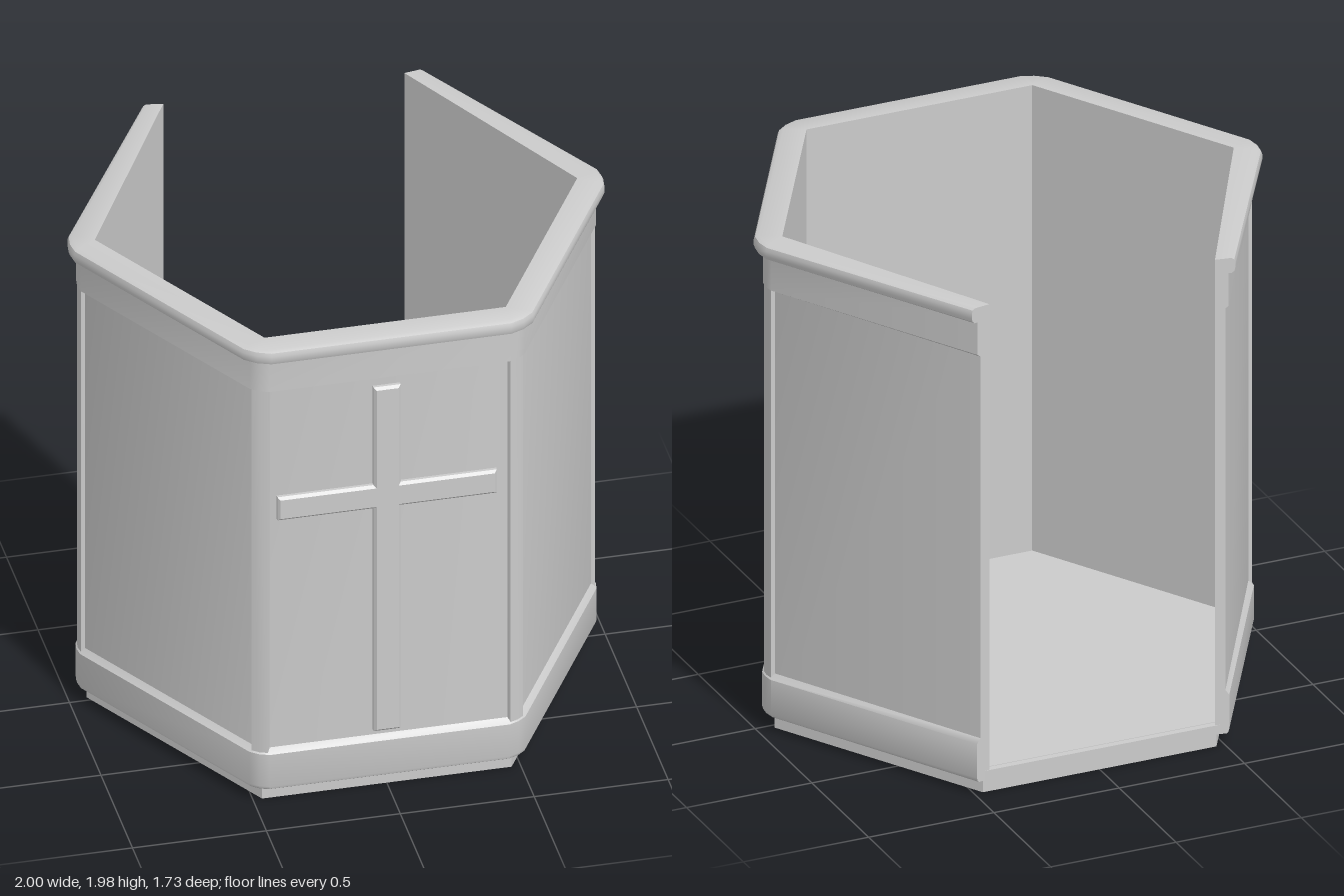
import * as THREE from 'three';
import { toCreasedNormals } from 'three/addons/utils/BufferGeometryUtils.js';

const ZC = -0.021;     // hexagon centre
const BACK = -0.85;    // open rear edge
const INNER = 0.78;    // inner wall distance from the centre
const mat = new THREE.MeshStandardMaterial({ color: 0xcccccc });
const sheetMat = new THREE.MeshStandardMaterial({ color: 0xcccccc, side: THREE.DoubleSide });

function mesh(name, geometry, material = mat) {
  const m = new THREE.Mesh(geometry, material);
  m.name = name;
  return m;
}

const hexPoint = (a, deg) => {
  const t = THREE.MathUtils.degToRad(deg), r = a / Math.cos(Math.PI / 6);
  return new THREE.Vector2(r * Math.cos(t), r * Math.sin(t) + ZC);
};

// Points (x, z) that soften one hexagon corner, reaching c along each side
function softCorner(a, deg, c) {
  const p = hexPoint(a, deg);
  const along = d => p.clone().add(hexPoint(a, d).sub(p).setLength(c));
  const before = along(deg - 60), after = along(deg + 60);
  const mid = before.clone().add(after).multiplyScalar(0.375).addScaledVector(p, 0.25);
  return [before, mid, after];
}

// Plan of the five-sided wall at distance a, from the right rear end to the left
function plan(a) {
  const d = a - INNER, endX = 0.45 + d * 0.72, endZ = BACK - d * 0.12;
  const pts = [new THREE.Vector2(endX, endZ)];
  for (const deg of [0, 60, 120, 180]) pts.push(...softCorner(a, deg, d * 0.6));
  pts.push(new THREE.Vector2(-endX, endZ));
  return pts;
}

// Sweep a convex closed profile of [distance, y] around the five walls
function sweep(profile) {
  const n = profile.length, pos = [], idx = [];
  const rows = profile.map(([a]) => plan(a)), count = rows[0].length;
  for (let s = 0; s < count; s++)
    for (let p = 0; p < n; p++) pos.push(rows[p][s].x, profile[p][1], rows[p][s].y);
  for (let s = 0; s < count - 1; s++)
    for (let p = 0; p < n; p++) {
      const q = (p + 1) % n, i = s * n, j = i + n;
      idx.push(i + p, i + q, j + p, i + q, j + q, j + p);
    }
  const e = (count - 1) * n;
  for (let p = 1; p < n - 1; p++) idx.push(0, p + 1, p, e, e + p, e + p + 1);
  const g = new THREE.BufferGeometry();
  g.setAttribute('position', new THREE.Float32BufferAttribute(pos, 3));
  g.setIndex(idx);
  return toCreasedNormals(g, 0.6);
}

const flatShape = points => new THREE.Shape(points.map(p => new THREE.Vector2(p.x, -p.y)));

// Upright prism from plan points (x, z)
function prism(points, y0, y1) {
  const g = new THREE.ExtrudeGeometry(flatShape(points), { depth: y1 - y0, bevelEnabled: false });
  g.rotateX(-Math.PI / 2).translate(0, y0, 0);
  return toCreasedNormals(g, 0.6);
}

export function createModel() {
  const group = new THREE.Group();

  // Plinth, a thin skirt open underneath
  const plinth = new THREE.CylinderGeometry(0.932, 0.932, 0.1, 6, 1, true, Math.PI / 2);
  plinth.translate(0, 0.05, ZC);
  group.add(mesh('plinth', toCreasedNormals(plinth, 0.6), sheetMat));

  // Floor sheet and rear sill
  const floor = new THREE.ShapeGeometry(flatShape(plan(0.81)));
  floor.rotateX(-Math.PI / 2).translate(0, 0.098, 0);
  group.add(mesh('floor', floor, sheetMat));
  const sill = new THREE.BoxGeometry(0.94, 0.038, 0.02);
  sill.translate(0, 0.079, -0.842);
  group.add(mesh('rearSill', sill));

  // Panelled walls
  group.add(mesh('panelWalls', sweep([[INNER, 0.097], [0.834, 0.097], [0.834, 1.94], [INNER, 1.94]])));

  // Base band and top band, standing slightly proud of the panels
  group.add(mesh('baseBand', sweep([
    [0.806, 0.06], [0.842, 0.06], [0.85, 0.066], [0.854, 0.078], [0.854, 0.215], [0.834, 0.235], [0.806, 0.235],
  ])));
  group.add(mesh('topBand', sweep([
    [0.806, 1.774], [0.834, 1.774], [0.851, 1.784], [0.851, 1.93], [0.806, 1.93],
  ])));

  // Rounded rim
  group.add(mesh('rim', sweep([
    [INNER, 1.915], [0.868, 1.915], [0.88, 1.922], [0.885, 1.935],
    [0.885, 1.955], [0.88, 1.968], [0.865, 1.975], [INNER, 1.975],
  ])));

  // Softened corner posts between the panels
  for (const deg of [0, 60, 120, 180]) {
    const [lip0, , lip1] = softCorner(0.833, deg, 0.038);
    const [in0, , in1] = softCorner(0.81, deg, 0.03);
    const pts = [in0, lip0, ...softCorner(0.847, deg, 0.036), lip1, in1, hexPoint(0.8, deg)];
    group.add(mesh('cornerPost', prism(pts, 0.2, 1.8)));
  }

  // Raised cross with bevelled edges on the front panel
  const w = 0.041, arm = 0.4, lo = 1.231, hi = 1.311, bottom = 0.266, top = 1.733;
  const cross = new THREE.Shape([
    [-w, bottom], [w, bottom], [w, lo], [arm, lo], [arm, hi], [w, hi],
    [w, top], [-w, top], [-w, hi], [-arm, hi], [-arm, lo], [-w, lo],
  ].map(([x, y]) => new THREE.Vector2(x, y)));
  const crossGeo = new THREE.ExtrudeGeometry(cross, {
    depth: 0.02, bevelThickness: 0.01, bevelSize: 0.01, bevelSegments: 1,
  });
  crossGeo.translate(-0.008, 0, 0.805);
  group.add(mesh('cross', toCreasedNormals(crossGeo, 0.6)));

  return group;
}
